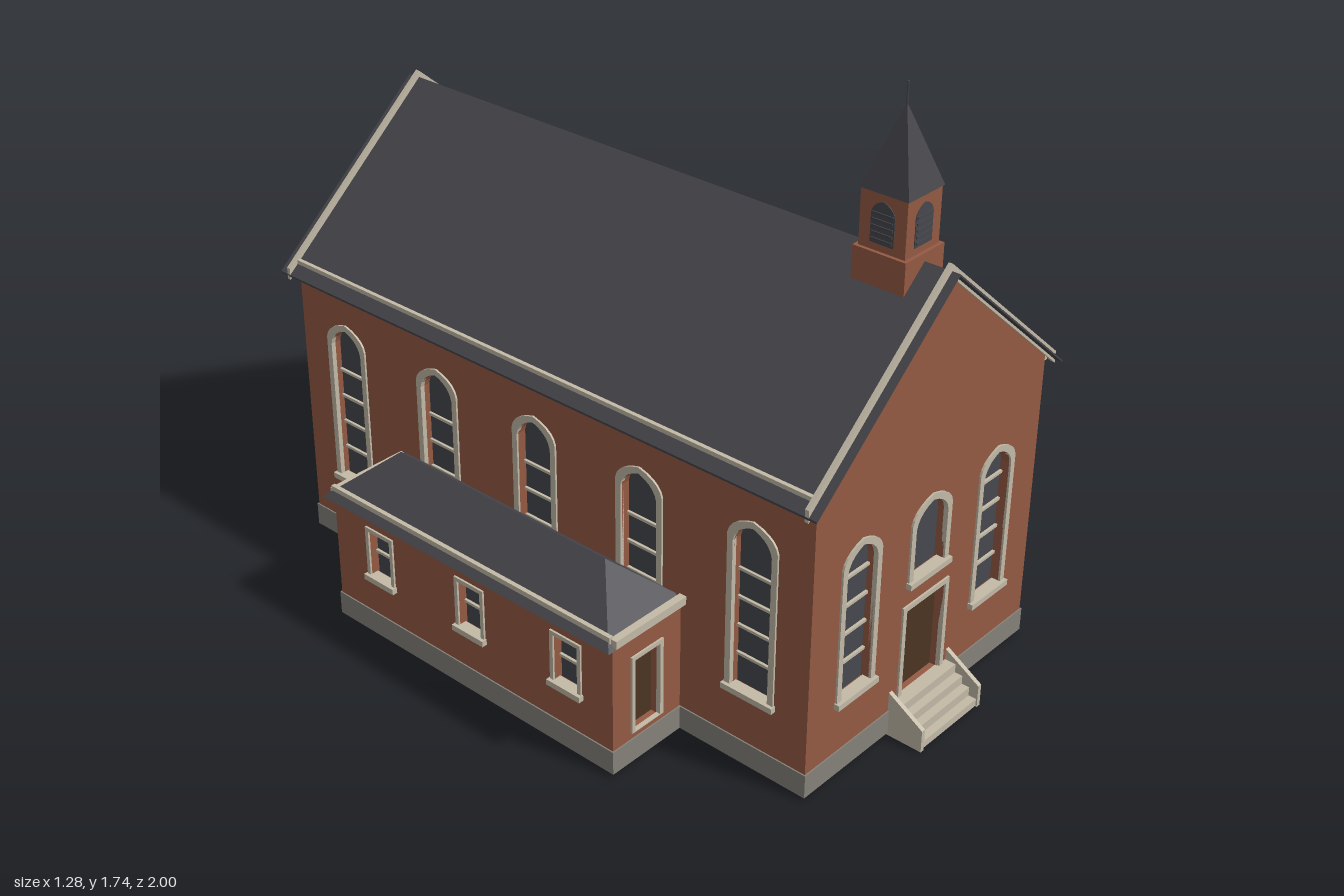
import * as THREE from 'three';

const mat = (name, color, side = THREE.FrontSide) => {
  const m = new THREE.MeshStandardMaterial({ color, side });
  m.name = name;
  return m;
};

export function createModel() {
  const brick = mat('brick', 0x955a43, THREE.DoubleSide);
  const trim = mat('trim', 0xc3baa7);
  const stone = mat('stone', 0x85827a);
  const slate = mat('slate', 0x45454b, THREE.DoubleSide);
  const glass = mat('glass', 0x46484e, THREE.DoubleSide);
  const wood = mat('wood', 0x4b3422, THREE.DoubleSide);

  const model = new THREE.Group();
  model.name = 'church';
  const T = 0.03; // wall thickness
  const CX = 0.12, ZF = 0.89, ZB = -0.965, ZC = (ZF + ZB) / 2;

  const add = (parent, name, geometry, material, x = 0, y = 0, z = 0) => {
    const m = new THREE.Mesh(geometry, material);
    m.name = name;
    m.position.set(x, y, z);
    parent.add(m);
    return m;
  };
  // Box given by its limits on each axis
  const box = (parent, name, material, x0, x1, y0, y1, z0, z1) =>
    add(parent, name, new THREE.BoxGeometry(x1 - x0, y1 - y0, z1 - z0), material,
      (x0 + x1) / 2, (y0 + y1) / 2, (z0 + z1) / 2);
  const extrude = (shape, depth) =>
    new THREE.ExtrudeGeometry(shape, { depth, bevelEnabled: false, curveSegments: 5 });
  const polygon = pts => new THREE.Shape(pts.map(p => new THREE.Vector2(p[0], p[1])));

  // Outline of an opening, grown by g; arch is the rise of the softly pointed head
  const outline = (o, g = 0) => {
    const w = o.hw + g, top = o.y1 + g, spring = top - o.arch;
    const s = new THREE.Shape();
    s.moveTo(o.u - w, o.y0);
    s.lineTo(o.u + w, o.y0);
    s.lineTo(o.u + w, spring);
    if (o.arch) {
      s.quadraticCurveTo(o.u + w * 0.9, spring + o.arch * 0.72, o.u, top);
      s.quadraticCurveTo(o.u - w * 0.9, spring + o.arch * 0.72, o.u - w, spring);
    } else s.lineTo(o.u - w, top);
    s.closePath();
    return s;
  };

  // Wall with openings; local +z points outward
  const wall = (name, x, z, turn, pts, openings, plinthHalf) => {
    const g = new THREE.Group();
    g.name = name;
    g.position.set(x, 0, z);
    g.rotation.y = turn;
    model.add(g);
    const face = polygon(pts);
    openings.forEach(o => face.holes.push(outline(o)));
    add(g, 'brickwork', extrude(face, T), brick, 0, 0, -T);
    box(g, 'plinth', stone, -plinthHalf, plinthHalf, 0.01, 0.08, -0.002, 0.004);
    for (const o of openings) {
      const f = o.frame ?? 0.018;
      const ring = outline(o, f);
      ring.holes.push(outline(o));
      // an open-bottomed surround would touch its hole, so the hole starts a hair higher
      const inner = outline({ ...o, y0: o.y0 + 0.002 });
      ring.holes[0] = inner;
      add(g, 'surround', extrude(ring, 0.014), trim, 0, 0, -0.008);
      add(g, o.door ? 'doorLeaf' : 'windowPane', new THREE.ShapeGeometry(outline(o), 5),
        o.door ? wood : glass, 0, 0, -T + 0.004);
      if (!o.door) {
        const s = o.hw + f + 0.004;
        box(g, 'sill', trim, o.u - s, o.u + s, o.y0 - 0.012, o.y0 + 0.005, -0.02, 0.016);
      }
      for (const y of o.bars ?? [])
        box(g, 'glazingBar', trim, o.u - o.hw, o.u + o.hw, y - 0.004, y + 0.004, -T + 0.004, -T + 0.012);
    }
  };

  const bars = [0.325, 0.41, 0.495, 0.58];
  const tall = (u, y1) => ({ u, y0: 0.235, y1, hw: 0.061, arch: 0.06, bars });

  // Nave walls
  const gable = [[-0.48, 0.01], [0.48, 0.01], [0.48, 0.885], [0, 1.298], [-0.48, 0.885]];
  wall('frontWall', CX, ZF, 0, gable, [
    tall(-0.29, 0.677), tall(0.29, 0.677),
    { u: 0, y0: 0.452, y1: 0.668, hw: 0.068, arch: 0.06 },
    { u: 0, y0: 0.1, y1: 0.37, hw: 0.085, arch: 0, door: true, frame: 0.015 }], 0.484);
  wall('backWall', CX, ZB, Math.PI, gable, [tall(0, 0.733)], 0.484);
  const L = (ZF - ZB) / 2;
  const sideWall = [[-L + T, 0.01], [L - T, 0.01], [L - T, 0.885], [-L + T, 0.885]];
  const bays = [-2, -1, 0, 1, 2].map(i => tall(i * 0.3715, 0.733));
  wall('rightWall', CX + 0.48, ZC, Math.PI / 2, sideWall, bays, L);
  wall('leftWall', CX - 0.48, ZC, -Math.PI / 2, sideWall, bays, L);

  // Nave roof with raised gable and eave trim
  const chevron = (lo, hi) => polygon([[-0.52, 0.863 + lo], [0, 1.308 + lo], [0.52, 0.863 + lo],
    [0.52, 0.863 + hi], [0, 1.308 + hi], [-0.52, 0.863 + hi]]);
  add(model, 'naveRoof', extrude(chevron(-0.006, 0), 1.92), slate, CX, 0, -1);
  for (const z of [ZF - 0.005, ZB - 0.007])
    add(model, 'gableTrim', extrude(chevron(-0.015, 0.02), 0.012), trim, CX, 0, z);
  for (const s of [-1, 1]) {
    const x = CX + s * 0.485;
    box(model, 'eaveTrim', trim, x - 0.006, x + 0.006, 0.868, 0.9, ZB, ZF);
  }

  // Side annex
  const AX = -0.49, A0 = -0.565, A1 = 0.475, AZ = (A0 + A1) / 2, AL = (A1 - A0) / 2;
  const rect = (x0, x1, y1) => [[x0, 0.01], [x1, 0.01], [x1, y1], [x0, y1]];
  const small = u => ({ u, y0: 0.2, y1: 0.345, hw: 0.042, arch: 0, frame: 0.012, bars: [0.272] });
  wall('annexFront', AX, A1, 0, rect(-0.125, 0.13, 0.42),
    [{ u: 0, y0: 0.1, y1: 0.325, hw: 0.047, arch: 0, door: true, frame: 0.012 }], 0.129);
  wall('annexBack', AX, A0, Math.PI, rect(-0.13, 0.125, 0.42), [small(0)], 0.129);
  wall('annexSide', AX - 0.125, AZ, -Math.PI / 2, rect(-AL + T, AL - T, 0.42),
    [-0.35, 0, 0.35].map(u => small(u + 0.01)), AL);
  box(model, 'annexFrontTrim', trim, -0.62, -0.36, 0.408, 0.432, A1 - 0.004, A1 + 0.018);
  box(model, 'annexBackTrim', trim, -0.62, -0.36, 0.408, 0.424, A0 - 0.01, A0 + 0.004);
  box(model, 'annexSideTrim', trim, -0.625, -0.612, 0.408, 0.437, A0, A1);

  // Hipped annex roof, its inner slope running into the nave wall
  const [e0, e1, e2, e3, r0, r1] = [[-0.645, 0.405, 0.49], [-0.365, 0.405, 0.49], [-0.365, 0.405, -0.58],
    [-0.645, 0.405, -0.58], [AX, 0.54, 0.335], [AX, 0.54, -0.425]];
  const i0 = [-0.365, 0.431, 0.46], i1 = [-0.365, 0.431, -0.55];
  const hip = new THREE.BufferGeometry();
  hip.setAttribute('position', new THREE.Float32BufferAttribute([
    e0, r0, r1, e0, r1, e3, // outer slope
    e0, e1, i0, e0, i0, r0, // front hip
    e3, i1, e2, e3, r1, i1, // back hip
    r0, i0, i1, r0, i1, r1 // inner slope
  ].flat(), 3));
  hip.computeVertexNormals();
  add(model, 'annexRoof', hip, slate);

  // Belfry and spire
  const belfry = new THREE.Group();
  belfry.name = 'belfry';
  belfry.position.set(CX, 0, 0.738);
  model.add(belfry);
  box(belfry, 'belfryBase', brick, -0.079, 0.079, 1.237, 1.33, -0.079, 0.079);
  box(belfry, 'belfryShaft', brick, -0.069, 0.069, 1.33, 1.484, -0.069, 0.069);
  const louvre = { u: 0, y0: 1.35, y1: 1.462, hw: 0.035, arch: 0.035 };
  for (let i = 0; i < 4; i++) {
    const side = new THREE.Group();
    side.name = 'louvredOpening';
    side.rotation.y = i * Math.PI / 2;
    belfry.add(side);
    add(side, 'opening', extrude(outline(louvre), 0.003), glass, 0, 0, 0.068);
    for (let k = 0; k < 5; k++)
      box(side, 'slat', slate, -0.031, 0.031, 1.358 + k * 0.017, 1.364 + k * 0.017, 0.069, 0.074);
  }
  const spire = new THREE.ConeGeometry(0.073 * Math.SQRT2, 0.212, 4, 1).toNonIndexed();
  spire.rotateY(Math.PI / 4);
  spire.computeVertexNormals();
  add(belfry, 'spire', spire, slate, 0, 1.588, 0);
  add(belfry, 'finial', new THREE.CylinderGeometry(0.003, 0.003, 0.075, 6), slate, 0, 1.71, 0);

  // Entrance steps between sloping cheek walls
  for (let i = 0; i < 4; i++)
    box(model, 'step', trim, 0.0, 0.24, 0.005, 0.105 - i * 0.026, ZF + (i ? 0.024 * i : 0), ZF + 0.034 + i * 0.024);
  const cheek = polygon([[0, 0.003], [0.11, 0.003], [0.11, 0.07], [0, 0.138]]);
  for (const x of [-0.001, 0.253]) {
    const m = add(model, 'stepCheek', extrude(cheek, 0.013), trim, x, 0, ZF);
    m.rotation.y = -Math.PI / 2;
  }
  return model;
}
